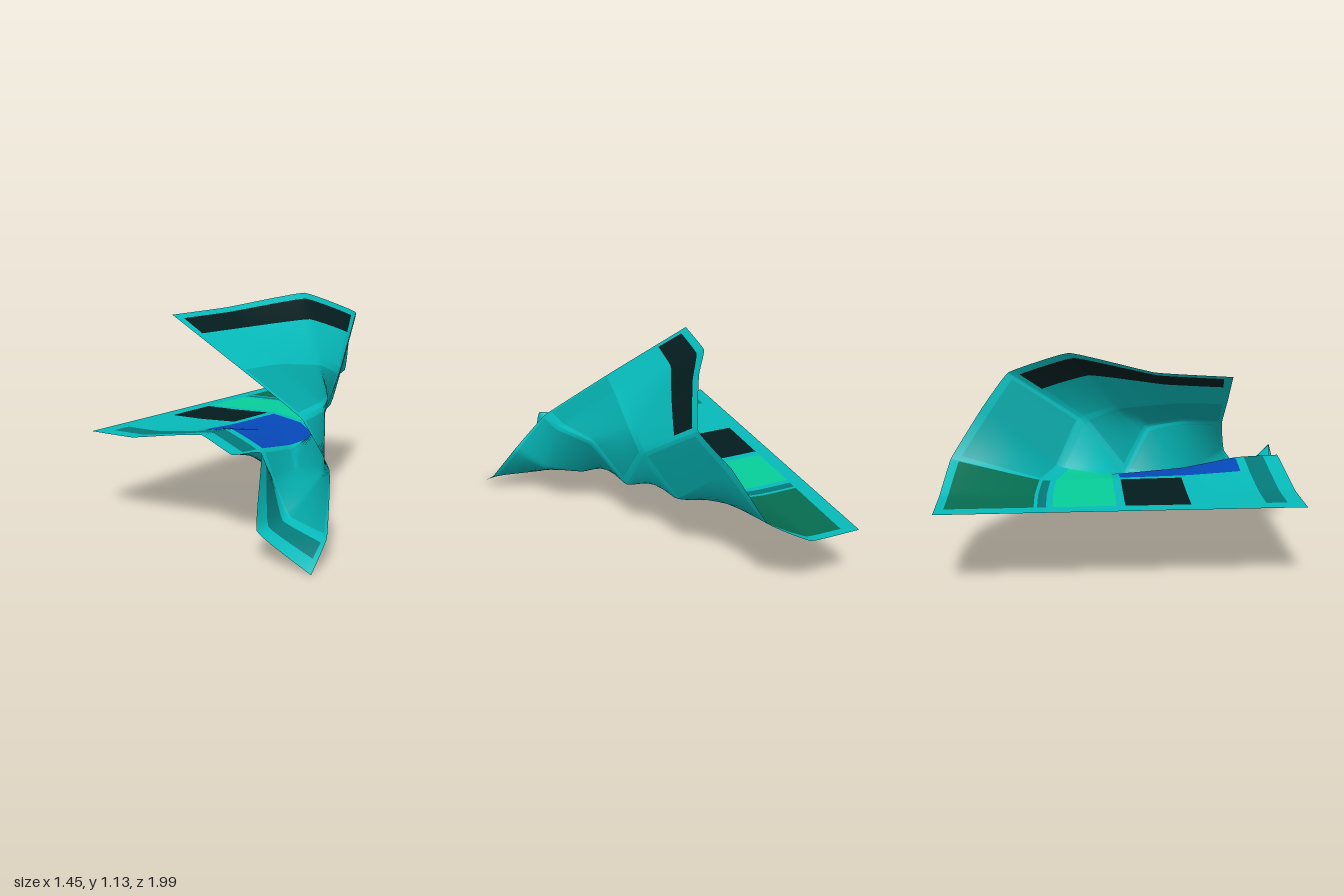
import * as THREE from 'three';

// Cross-sections of the curled sheet, from the back edge to the front edge.
// Each runs from the flat left side, through the fold, to the free right edge.
const sections = [
  [[-.73, .45, -1], [-.45, .455, -1], [-.22, .59, -.96], [-.1, .83, -.8], [.02, 1, -.66], [-.14, 1.13, -.33], [-.38, 1.065, .1], [-.45, 1.05, .49]],
  [[-.73, .45, -.5], [-.45, .45, -.5], [-.22, .46, -.48], [0, .47, -.4], [.14, .71, -.27], [.12, .78, -.06], [.05, .82, .28], [0, .82, .54]],
  [[-.73, .45, -.1], [-.45, .45, -.1], [-.2, .455, -.1], [0, .42, -.1], [.14, .385, -.02], [.29, .61, .12], [.4, .62, .35], [.41, .6, .58]],
  [[-.73, .45, .3], [-.45, .45, .3], [-.2, .46, .3], [0, .45, .3], [.14, .37, .25], [.26, .285, .38], [.46, .31, .46], [.6, .38, .63]],
  [[-.73, .45, .6], [-.45, .45, .6], [-.2, .475, .6], [0, .505, .6], [.18, .42, .58], [.29, .29, .64], [.43, .145, .73], [.7, .12, .82]],
  [[-.73, .45, .83], [-.45, .45, .83], [-.2, .49, .83], [0, .515, .83], [.18, .44, .83], [.37, .48, .86], [.41, .14, .96], [.72, 0, .99]],
].map(row => curve(row.map(p => new THREE.Vector3(...p))));
const U = 7, V = 5;

function curve(points) {
  return new THREE.CatmullRomCurve3(points, false, 'catmullrom', 0.15);
}

// Coloured fields: name, colour, u range, v range (in section units)
const panels = [
  ['darkGreenPanel', 0x066c50, .34, 1.93, .15, .92],
  ['backStripe', 0x047878, .34, 1.93, 1, 1.17],
  ['brightGreenPanel', 0x06cc98, .34, 3.05, 1.25, 1.95],
  ['blackPanel', 0x041c1e, .34, 1.85, 2.15, 2.84],
  ['bluePanel', 0x0648b8, 2.15, 3.95, 2.15, 3.93],
  ['frontStripe', 0x047878, .34, 3.95, 4.23, 4.6],
  ['legStripe', 0x047878, 4.15, 6.85, 4.23, 4.6],
  ['flapStripe', 0x041c1e, 4.15, 6.82, .15, .42],
  ['backWallPanel', 0x04a4a4, 2.15, 3.85, .15, .92],
  ['foldPanel', 0x04a4a4, 4.2, 6.85, 1.15, 1.85],
  ['legPanel', 0x04a4a4, 4.2, 6.85, 2.12, 3.9],
];

// Sorted grid lines through every panel border, filled in to a fine step
function gridLines(max, lo, hi) {
  const marks = [];
  for (let i = 0; i <= max; i++) marks.push(i);
  for (const p of panels) marks.push(p[lo], p[hi]);
  const sorted = [...new Set(marks)].sort((a, b) => a - b);
  const lines = [0];
  for (let i = 1; i < sorted.length; i++) {
    const a = sorted[i - 1], b = sorted[i], n = Math.ceil((b - a) / 0.2);
    for (let k = 1; k <= n; k++) lines.push(a + (b - a) * k / n);
  }
  return lines;
}

export function createModel() {
  const group = new THREE.Group();
  group.name = 'curledSheet';
  const us = gridLines(U, 2, 3), vs = gridLines(V, 4, 5);

  // Surface points
  const positions = [];
  const columns = us.map(u => curve(sections.map(s => s.getPoint(u / U))));
  for (const v of vs) {
    for (const column of columns) positions.push(...column.getPoint(v / V).toArray());
  }

  // Sort the faces into the base sheet and its panels
  const all = [], base = [], faces = panels.map(() => []);
  for (let j = 0; j < vs.length - 1; j++) {
    for (let i = 0; i < us.length - 1; i++) {
      const a = j * us.length + i, b = a + 1, c = a + us.length, d = c + 1;
      const u = (us[i] + us[i + 1]) / 2, v = (vs[j] + vs[j + 1]) / 2;
      const k = panels.findIndex(p => u > p[2] && u < p[3] && v > p[4] && v < p[5]);
      (k < 0 ? base : faces[k]).push(a, c, b, b, c, d);
      all.push(a, c, b, b, c, d);
    }
  }

  // Smooth normals shared by every part
  const sheet = new THREE.BufferGeometry();
  sheet.setAttribute('position', new THREE.Float32BufferAttribute(positions, 3));
  sheet.setIndex(all);
  sheet.computeVertexNormals();

  const addPart = (name, color, index) => {
    const part = sheet.clone();
    part.setIndex(index);
    const mesh = new THREE.Mesh(part.toNonIndexed(),
      new THREE.MeshStandardMaterial({ color, side: THREE.DoubleSide }));
    mesh.name = name;
    group.add(mesh);
  };
  addPart('sheet', 0x06b8b8, base);
  panels.forEach(([name, color], k) => addPart(name, color, faces[k]));
  return group;
}
